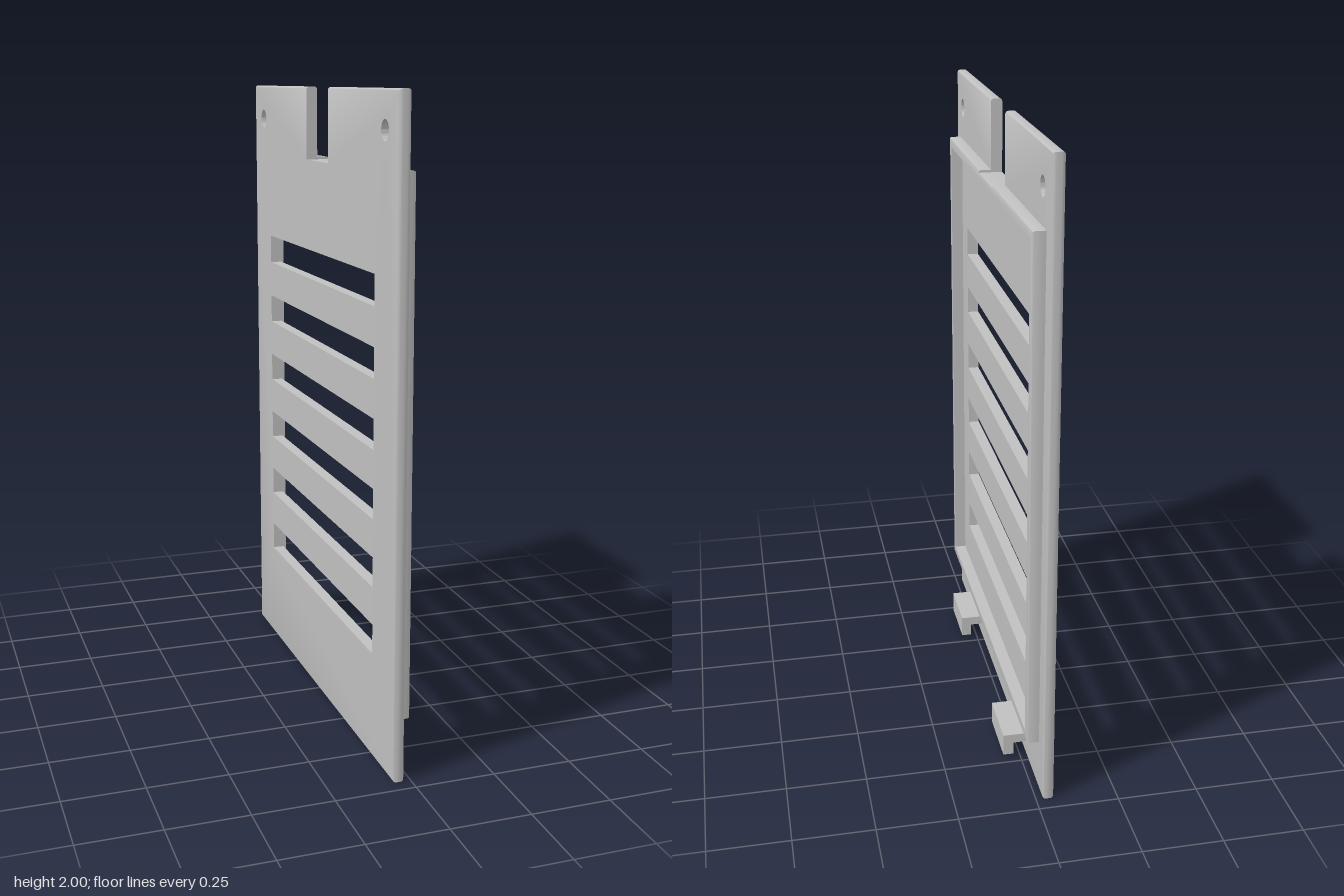
import * as THREE from 'three';
import { toCreasedNormals } from 'three/addons/utils/BufferGeometryUtils.js';

const grey = new THREE.MeshStandardMaterial({ color: 0xc0c0c0 });
grey.name = 'plain grey';

const HALF_W = 0.705, HEIGHT = 2, NOTCH_W = 0.107, NOTCH_Y = 1.772;

function polygon(points, Type = THREE.Shape) {
  return new Type(points.map(([x, y]) => new THREE.Vector2(x, y)));
}

function rect(x0, y0, x1, y1) {
  return polygon([[x0, y0], [x0, y1], [x1, y1], [x1, y0]], THREE.Path);
}

// Outline of a panel with a square notch in its top edge
function notchedPanel(halfW, bottom, top) {
  return polygon([
    [-halfW, bottom], [halfW, bottom], [halfW, top],
    [NOTCH_W, top], [NOTCH_W, NOTCH_Y], [-NOTCH_W, NOTCH_Y],
    [-NOTCH_W, top], [-halfW, top],
  ]);
}

// Extrudes a panel and rounds only its outer edges, leaving openings sharp
function roundedPanel(shape, depth, r, halfW, bottom, top, roundBack) {
  const n = 4, steps = 2 * n + 1;
  const geo = new THREE.ExtrudeGeometry(shape, { depth, steps, bevelEnabled: false, curveSegments: 24 });
  const p = geo.attributes.position;
  const near = (a, b) => Math.abs(a - b) < 1e-4;
  for (let i = 0; i < p.count; i++) {
    const x = p.getX(i), y = p.getY(i);
    const k = Math.round(p.getZ(i) / depth * steps);
    const front = k > n;
    const a = (front ? steps - k : k) / n * Math.PI / 2;
    const d = r * (1 - Math.cos(a));
    const inset = front || roundBack ? r * (1 - Math.sin(a)) : 0;
    p.setZ(i, front ? depth - d : d);
    if (near(Math.abs(x), halfW)) p.setX(i, x - Math.sign(x) * inset);
    if (near(y, bottom)) p.setY(i, y + inset);
    if (near(y, top)) p.setY(i, y - inset);
  }
  return toCreasedNormals(geo, 0.6);
}

export function createModel() {
  const model = new THREE.Group();
  model.name = 'ventCover';

  // Panels are drawn facing +z, then turned to face +x
  const add = (name, geo, x, z = 0) => {
    const mesh = new THREE.Mesh(geo, grey);
    mesh.name = name;
    mesh.rotation.y = Math.PI / 2;
    mesh.position.set(x, 0, z);
    model.add(mesh);
  };

  // Back plate with vent slots and two screw holes
  const plate = notchedPanel(HALF_W, 0, HEIGHT);
  for (let i = 0; i < 6; i++) {
    const y = 0.335 + i * 0.2115;
    plate.holes.push(rect(-0.523, y, 0.523, y + 0.093));
  }
  for (const side of [-1, 1]) {
    plate.holes.push(new THREE.Path().absarc(side * 0.597, 1.888, 0.03, 0, Math.PI * 2, true));
  }
  add('backPlate', roundedPanel(plate, 0.036, 0.01, HALF_W, 0, HEIGHT, true), -0.056);

  // Raised rim around the vents
  const rim = notchedPanel(0.648, 0.17, 1.78);
  rim.holes.push(rect(-0.618, 0.2, 0.618, 1.75));
  add('raisedRim', roundedPanel(rim, 0.038, 0.006, 0.648, 0.17, 1.78, false), -0.02);

  // Hooked clips near the bottom edge
  const clip = polygon([
    [-0.022, 0.05], [0.021, 0.05], [0.021, 0.008],
    [0.054, 0.008], [0.054, 0.08], [-0.022, 0.08],
  ]);
  for (const [name, z] of [['leftClip', 0.375], ['rightClip', -0.375]]) {
    const geo = new THREE.ExtrudeGeometry(clip, { depth: 0.19, bevelEnabled: false });
    geo.translate(0, 0, -0.095);
    const mesh = new THREE.Mesh(geo, grey);
    mesh.name = name;
    mesh.position.z = z;
    model.add(mesh);
  }
  return model;
}
